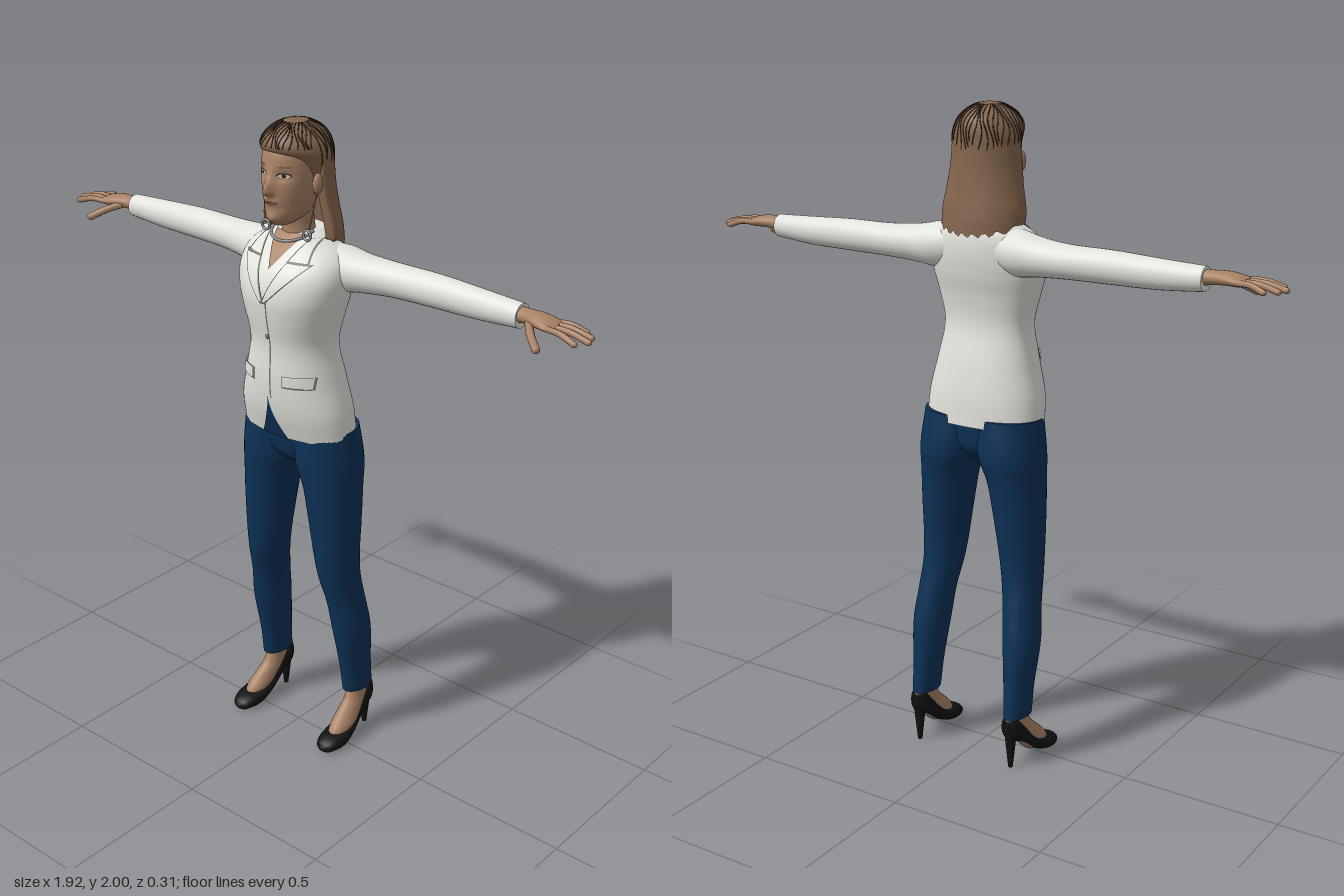
import * as THREE from 'three';

const mat = (name, color) => Object.assign(new THREE.MeshStandardMaterial({ color, side: THREE.DoubleSide }), { name });
const M = {
  jacket: mat('jacket white', 0xe2e2dc), seam: mat('seam grey', 0x74746c), trousers: mat('trouser navy', 0x0d3156),
  skin: mat('skin', 0xa98265), hair: mat('hair brown', 0x84664e), strand: mat('dark brown', 0x3a281b),
  shoe: mat('shoe black', 0x121212), lip: mat('lip rose', 0x94604f), eye: mat('eye white', 0xd4cec6), silver: mat('silver', 0x8f9194),
};

// Section rows are [position, centreA, centreB, radiusA, radiusB+, radiusB-]
function sampler(secs) {
  const f = new THREE.CubicInterpolant(secs.map(s => s[0]), secs.flatMap(s => s.slice(1)), 5);
  return t => Array.from(f.evaluate(t));
}
const spow = (v, e) => Math.sign(v) * Math.abs(v) ** e;
function oval([ca, cb, ra, rp, rn], u, p) {
  const c = Math.cos(u * 2 * Math.PI), s = Math.sin(u * 2 * Math.PI);
  return [ca + ra * spow(c, 2 / p), cb + (s > 0 ? rp : rn) * spow(s, 2 / p)];
}

// Smooth skin through oval sections along one axis, with capped ends
function loft(secs, { axis = 'y', n = 40, k = 5, p = 2, ring = oval, deform } = {}) {
  const at = sampler(secs), ts = [], pos = [], idx = [];
  secs.forEach((s, i) => {
    if (i) for (let j = 1; j <= k; j++) ts.push(secs[i - 1][0] + (s[0] - secs[i - 1][0]) * j / k);
    else ts.push(s[0]);
  });
  const put = (a, t, b) => {
    const v = axis === 'y' ? new THREE.Vector3(a, t, b) : axis === 'x' ? new THREE.Vector3(t, a, b) : new THREE.Vector3(a, b, t);
    if (deform) deform(v);
    pos.push(v.x, v.y, v.z);
  };
  const tri = (a, b, c) => (axis === 'y' ? idx.push(a, c, b) : idx.push(a, b, c));
  const addRing = t => { for (let j = 0; j < n; j++) { const [a, b] = ring(at(t), j / n, p); put(a, t, b); } };
  ts.forEach(addRing);
  for (let i = 0; i < ts.length - 1; i++) for (let j = 0; j < n; j++) {
    const a = i * n + j, b = i * n + (j + 1) % n;
    tri(a, b, b + n); tri(a, b + n, a + n);
  }
  if (ring === oval) [0, ts.length - 1].forEach((e, last) => {
    const o = pos.length / 3, s = at(ts[e]);
    addRing(ts[e]); put(s[0], ts[e], s[1]);
    for (let j = 0; j < n; j++) last ? tri(o + j, o + (j + 1) % n, o + n) : tri(o + (j + 1) % n, o + j, o + n);
  });
  return finish(pos, idx);
}
function finish(pos, idx) {
  const g = new THREE.BufferGeometry();
  g.setAttribute('position', new THREE.Float32BufferAttribute(pos, 3));
  g.setIndex(idx);
  g.computeVertexNormals();
  return g;
}

// Thin plate lying on a front surface z(x, y), between two side lines
function patch(z, y0, y1, xl, xr, off, ny = 16, nx = 8) {
  const pos = [], idx = [];
  for (let i = 0; i <= ny; i++) for (let j = 0; j <= nx; j++) {
    const y = y0 + (y1 - y0) * i / ny, x = xl(y) + (xr(y) - xl(y)) * j / nx;
    pos.push(x, y, z(x, y) + off);
    if (i < ny && j < nx) { const a = i * (nx + 1) + j, b = a + nx + 1; idx.push(a, a + 1, b + 1, a, b + 1, b); }
  }
  return finish(pos, idx);
}
const frontOf = (secs, p) => {
  const at = sampler(secs);
  return (x, y) => { const [cx, cz, rx, rf] = at(y); return cz + rf * Math.max(0, 1 - Math.abs((x - cx) / rx) ** p) ** (1 / p); };
};
const tube = (pts, r, seg = 14) => new THREE.TubeGeometry(new THREE.CatmullRomCurve3(pts.map(q => new THREE.Vector3(...q))), seg, r, 8);
const ball = (x, y, z, a, b, c) => new THREE.SphereGeometry(1, 16, 12).scale(a, b, c).translate(x, y, z);
function mirror(g) {
  const m = g.clone().scale(-1, 1, 1), ix = m.index.array;
  for (let i = 0; i < ix.length; i += 3) [ix[i], ix[i + 1]] = [ix[i + 1], ix[i]];
  m.computeVertexNormals();
  return m;
}

const TORSO = [[1.065, 0, -.01, .192, .112, .112], [1.15, 0, 0, .184, .127, .117], [1.25, 0, 0, .158, .138, .1], [1.36, 0, 0, .138, .135, .076],
  [1.45, 0, 0, .158, .15, .084], [1.51, 0, 0, .174, .154, .098], [1.58, 0, 0, .18, .132, .106], [1.63, 0, -.01, .158, .1, .092],
  [1.662, 0, -.015, .108, .074, .077], [1.685, 0, -.02, .066, .055, .06]];
const HEAD = [[1.712, 0, .06, .022, .038, .05], [1.735, 0, .045, .048, .072, .07], [1.775, 0, .03, .066, .09, .08], [1.82, 0, .025, .077, .098, .09],
  [1.88, 0, .02, .083, .1, .095], [1.93, 0, .015, .08, .094, .09], [1.965, 0, .01, .06, .07, .07], [1.985, 0, .01, .025, .03, .03]];
const CAP = [[1.8, 0, .005, .09, .025, .095], [1.86, 0, .005, .1, .05, .1], [1.9, 0, .005, .105, .082, .1], [1.93, 0, .01, .1, .106, .104],
  [1.96, 0, .012, .083, .094, .095], [1.985, 0, .012, .054, .06, .062], [1.996, 0, .012, .026, .03, .03], [2, 0, .012, .003, .003, .003]];
const LEG = [[.165, .17, -.09, .036, .058, .06], [.25, .168, -.082, .041, .06, .06], [.4, .165, -.06, .055, .066, .07], [.5, .155, -.045, .056, .067, .066],
  [.6, .143, -.025, .062, .073, .07], [.8, .128, -.02, .079, .088, .088], [.9, .118, -.02, .088, .096, .1], [.97, .104, -.02, .102, .104, .112], [1.09, .09, -.015, .102, .1, .104]];

// Relief of the face: nose, eye sockets, lips and chin
const hump = (d, w) => Math.exp(-((d / w) ** 2));
const relief = (x, y) => .03 * hump(x, .012) * hump(y - 1.815, y > 1.815 ? .034 : .012) - .009 * hump(Math.abs(x) - .036, .02) * hump(y - 1.86, .014)
  + .006 * hump(x, .024) * hump(y - 1.784, .012) + .007 * hump(x, .022) * hump(y - 1.735, .014);

export function createModel() {
  const model = new THREE.Group();
  model.name = 'woman';
  const add = (name, geo, material) => { const m = new THREE.Mesh(geo, material); m.name = name; model.add(m); };
  const pair = (name, geo, material) => { add(name + 'Left', geo, material); add(name + 'Right', mirror(geo), material); };

  // Jacket body and sleeves
  const chest = frontOf(TORSO, 2.2);
  add('jacketBody', loft(TORSO, { n: 64, p: 2.2 }), M.jacket);
  pair('sleeve', loft([[.06, 1.59, -.02, .062, .07, .07], [.14, 1.583, -.035, .068, .07, .07], [.2, 1.581, -.043, .058, .064, .063], [.3, 1.581, -.055, .05, .052, .053],
    [.45, 1.582, -.06, .048, .046, .046], [.6, 1.58, -.06, .043, .039, .04], [.73, 1.582, -.057, .035, .034, .034]], { axis: 'x', n: 28 }), M.jacket);

  // Neckline, lapels, collar, front edge and pocket flaps
  const vee = y => .44 * (y - 1.5);
  const out = y => vee(y) + .01 + .5 * (y - 1.5);
  add('neckSkin', patch(chest, 1.59, 1.68, y => -.6 * (y - 1.59), y => .6 * (y - 1.59), .004), M.skin);
  pair('lapelEdge', patch(chest, 1.495, 1.617, y => vee(y) - .004, y => out(y) + .004, .004), M.seam);
  pair('lapel', patch(chest, 1.5, 1.613, vee, out, .007), M.jacket);
  pair('collarEdge', patch(chest, 1.615, 1.672, y => vee(y) - .004, y => .113 - .3 * (y - 1.615), .005), M.seam);
  pair('collar', patch(chest, 1.619, 1.672, vee, y => .109 - .3 * (y - 1.615), .008), M.jacket);
  add('frontEdge', patch(chest, 1.2, 1.5, () => .008, () => .013, .002), M.seam);
  add('hemOpening', patch(chest, 1.065, 1.205, y => -.05 * ((1.205 - y) / .14) ** 1.6, y => .05 * ((1.205 - y) / .14) ** 1.6, .003), M.trousers);
  pair('pocketEdge', patch(chest, 1.241, 1.278, () => .052, () => .136, .003), M.seam);
  pair('pocketFlap', patch(chest, 1.246, 1.28, () => .055, () => .133, .008), M.jacket);
  add('button', ball(.002, 1.39, chest(0, 1.39), .007, .007, .004), M.seam);

  // Trousers
  pair('trouserLeg', loft(LEG, { n: 40 }), M.trousers);
  add('trouserSeat', loft([[.945, 0, -.015, .04, .03, .04], [.98, 0, -.015, .13, .075, .08], [1.03, 0, -.015, .18, .095, .095], [1.1, 0, -.012, .18, .1, .1]], { n: 48 }), M.trousers);

  // Feet and high-heeled shoes
  pair('foot', loft([[.03, .18, .01, .028, .045, .06], [.06, .178, -.015, .034, .055, .07], [.09, .175, -.05, .031, .06, .06], [.13, .172, -.085, .028, .05, .04], [.2, .17, -.09, .028, .035, .036]], { n: 28 }), M.skin);
  pair('shoe', loft([[-.153, .17, .14, .01, .02, .02], [-.14, .17, .132, .027, .044, .035], [-.1, .172, .106, .033, .04, .03], [-.06, .174, .07, .036, .032, .026], [-.02, .177, .042, .041, .026, .024],
    [.03, .18, .024, .045, .026, .022], [.07, .18, .018, .037, .022, .016], [.09, .18, .014, .022, .014, .012], [.097, .18, .013, .006, .005, .005]], { axis: 'z', n: 28, p: 2.3 }), M.shoe);
  pair('shoeHeel', new THREE.CylinderGeometry(.02, .007, .12, 14).translate(.17, .06, -.131), M.shoe);

  // Hands
  pair('palm', loft([[.71, 1.584, -.056, .024, .026, .026], [.75, 1.588, -.053, .02, .027, .026], [.79, 1.589, -.048, .019, .037, .036], [.83, 1.585, -.046, .015, .042, .038], [.85, 1.582, -.045, .009, .037, .034]], { axis: 'x', n: 24 }), M.skin);
  [[-.075, .908, -.09], [-.056, .938, -.064], [-.035, .949, -.033], [-.014, .928, .002]].forEach(([z, x, tz], i) => {
    pair('finger' + (i + 1), tube([[.83, 1.585, z], [(.83 + x) / 2, 1.585, (z + tz) / 2], [x, 1.572, tz]], .0088), M.skin);
    pair('fingertip' + (i + 1), ball(x, 1.572, tz, .0095, .0085, .0085), M.skin);
  });
  pair('thumb', tube([[.765, 1.583, -.035], [.8, 1.568, .008], [.838, 1.545, .038]], .0115), M.skin);
  pair('thumbTip', ball(.838, 1.545, .038, .0118, .0115, .0115), M.skin);

  // Neck, head and ears
  add('neck', loft([[1.6, 0, -.01, .058, .06, .045], [1.66, 0, -.005, .052, .053, .045], [1.7, 0, .002, .048, .046, .046], [1.78, 0, .015, .05, .05, .05]], { n: 32 }), M.skin);
  add('head', loft(HEAD, { n: 96, k: 9, deform: v => { if (v.z > .03) v.z += relief(v.x, v.y); } }), M.skin);
  pair('ear', ball(.096, 1.835, .03, .012, .03, .018), M.skin);

  // Eyes, brows and lips
  const headFront = frontOf(HEAD, 2), face = (x, y) => headFront(x, y) + relief(x, y);
  const spot = (cx, cy, w, h, off) => {
    const half = y => w * Math.sqrt(Math.max(0, 1 - ((y - cy) / h) ** 2));
    return patch(face, cy - h, cy + h, y => cx - half(y), y => cx + half(y), off, 12);
  };
  pair('eyeLash', spot(.038, 1.862, .019, .008, .0015), M.strand);
  pair('eyeWhite', spot(.038, 1.861, .016, .0055, .0025), M.eye);
  pair('iris', spot(.038, 1.861, .006, .0055, .0035), M.strand);
  pair('brow', spot(.04, 1.886, .021, .003, .002), M.hair);
  add('lips', spot(0, 1.784, .026, .008, .0015), M.lip);
  add('mouthLine', spot(0, 1.785, .024, .0012, .003), M.strand);

  // Hair: crown and a C-shaped curtain down the back
  add('hairCrown', loft(CAP, { n: 56 }), M.hair);
  const curl = (s, u) => {
    const outer = u < .5, v = outer ? u * 2 : 2 - u * 2, a = Math.PI * (.88 + v * 1.24), q = outer ? 1 : .82;
    return [s[0] + s[2] * q * Math.cos(a), s[1] + (Math.sin(a) > 0 ? s[3] : s[4]) * q * Math.sin(a)];
  };
  add('hairCurtain', loft([[1.65, 0, -.01, .134, .03, .11], [1.7, 0, -.005, .134, .04, .108], [1.76, 0, 0, .122, .045, .104], [1.82, 0, .005, .112, .05, .103], [1.9, 0, .005, .104, .05, .1]], {
    n: 96, ring: curl, deform: v => { if (v.y < 1.665) v.y += (v.z + .08) * .3 + .007 * Math.sin(v.x * 190) - .004; } }), M.hair);

  // Dark strands running from the crown
  const capAt = sampler(CAP);
  for (let i = 0; i < 46; i++) {
    const u = (i + .3 * Math.sin(i * 7.3)) / 46, front = Math.sin(u * 2 * Math.PI) > .3;
    const low = front ? 1.935 : 1.9 - .03 * Math.abs(Math.sin(i * 3.7)), pts = [];
    for (let j = 0; j <= 6; j++) {
      const y = 1.994 - (1.994 - low) * (j / 6) ** 1.6, [x, z] = oval(capAt(y), u + .012 * Math.sin(i + j), 2);
      pts.push([x, y, z]);
    }
    add('hairStrand' + (i + 1), tube(pts, .0017), M.strand);
  }

  // Earrings and necklace
  pair('earringChain', tube([[.096, 1.81, .035], [.088, 1.75, .042], [.08, 1.7, .05]], .002), M.silver);
  pair('earringHoop', new THREE.TorusGeometry(.014, .004, 8, 20).translate(.077, 1.687, .054), M.silver);
  const chain = [];
  for (let i = 0; i <= 12; i++) {
    const a = Math.PI * i / 12;
    chain.push([.068 * Math.cos(a), 1.69 - .026 * Math.sin(a), .015 + .068 * Math.sin(a)]);
  }
  add('necklace', tube(chain, .0045, 40), M.silver);
  return model;
}
